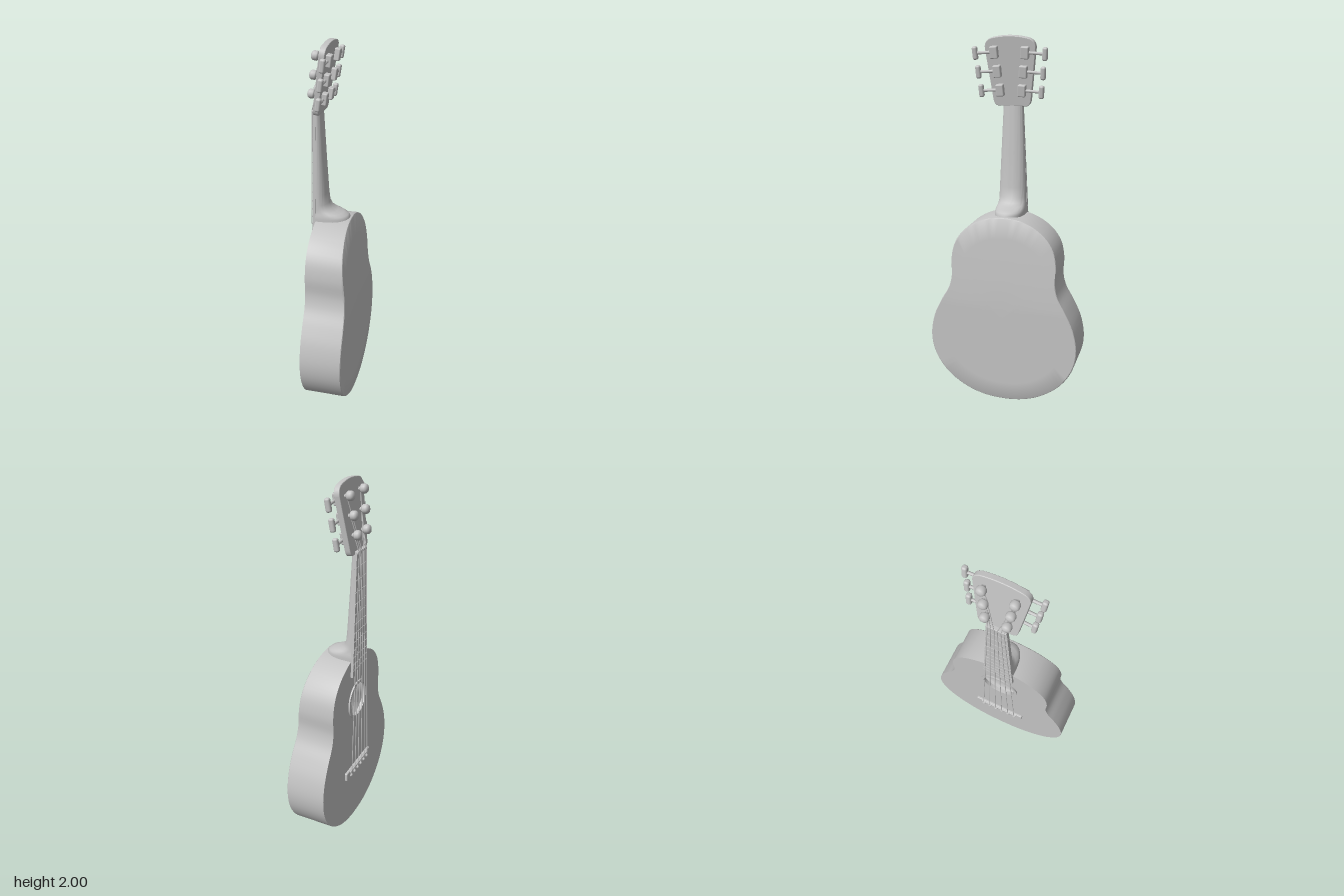
import * as THREE from 'three';
import { toCreasedNormals } from 'three/addons/utils/BufferGeometryUtils.js';
import { RoundedBoxGeometry } from 'three/addons/geometries/RoundedBoxGeometry.js';

const grey = new THREE.MeshStandardMaterial({ color: 0xc4c4c4, side: THREE.DoubleSide });
grey.name = 'plain grey';

function add(parent, name, geometry, x = 0, y = 0, z = 0) {
  const mesh = new THREE.Mesh(geometry, grey);
  mesh.name = name;
  mesh.position.set(x, y, z);
  parent.add(mesh);
  return mesh;
}

// Skin over closed rings holding the same number of [x, y, z] points
function loft(rings, crease) {
  const n = rings[0].length, index = [];
  for (let r = 0; r < rings.length - 1; r++) {
    for (let i = 0; i < n; i++) {
      const a = r * n + i, b = r * n + (i + 1) % n;
      index.push(a, b, b + n, a, b + n, a + n);
    }
  }
  const geo = new THREE.BufferGeometry();
  geo.setAttribute('position', new THREE.Float32BufferAttribute(rings.flat(2), 3));
  geo.setIndex(index);
  return toCreasedNormals(geo, crease);
}

// Straight round rod between two points
function rod(parent, name, a, b, radius) {
  const dir = b.clone().sub(a);
  const mesh = add(parent, name, new THREE.CylinderGeometry(radius, radius, dir.length(), 8));
  mesh.position.copy(a).add(b).multiplyScalar(0.5);
  mesh.quaternion.setFromUnitVectors(new THREE.Vector3(0, 1, 0), dir.normalize());
}

// Modelled with the soundboard towards -z, then turned to face -x
const FRONT = -0.09;
const backZ = y => 0.133 - 0.04 * Math.pow(Math.max(0, (y - 0.55) / 0.51), 1.3);

function makeBody(parent) {
  const half = [[0.11, 0.012], [0.22, 0.05], [0.33, 0.13], [0.4, 0.24], [0.42, 0.35], [0.4, 0.47],
    [0.355, 0.57], [0.31, 0.65], [0.293, 0.72], [0.295, 0.82], [0.275, 0.91], [0.22, 0.985], [0.12, 1.045]];
  const knots = [[0, 0.002], ...half, [0, 1.065], ...half.map(([x, y]) => [-x, y]).reverse()];
  const curve = new THREE.CatmullRomCurve3(knots.map(([x, y]) => new THREE.Vector3(x, y, 0)), true);
  const outline = curve.getPoints(120).slice(0, -1);

  // Sides and back in one skin, with a softly rounded rear edge
  const ring = (scale, zAt) => outline.map(p => {
    const y = 0.5 + (p.y - 0.5) * scale;
    return [p.x * scale, y, zAt(y)];
  });
  const rings = [ring(1, () => FRONT)];
  for (const [scale, inset] of [[1, 0.009], [0.997, 0.003], [0.988, 0], [0.8, 0], [0.6, 0], [0.4, 0], [0.2, 0], [0.001, 0]]) {
    rings.push(ring(scale, y => backZ(y) - inset));
  }
  add(parent, 'bodySidesAndBack', loft(rings, 0.6));

  // Soundboard with an open sound hole
  const board = new THREE.Shape(outline.map(p => new THREE.Vector2(p.x, p.y)));
  board.holes.push(new THREE.Path().absarc(0, 0.79, 0.098, 0, Math.PI * 2, true));
  const boardGeo = new THREE.ShapeGeometry(board, 48);
  boardGeo.scale(-1, 1, -1).computeVertexNormals();
  add(parent, 'soundboard', boardGeo, 0, 0, FRONT);

  // Raised ring lining the sound hole
  const rosette = new THREE.Shape().absarc(0, 0, 0.112, 0, Math.PI * 2);
  rosette.holes.push(new THREE.Path().absarc(0, 0, 0.096, 0, Math.PI * 2, true));
  add(parent, 'soundHoleRing',
    new THREE.ExtrudeGeometry(rosette, { depth: 0.02, bevelEnabled: false, curveSegments: 48 }), 0, 0.79, FRONT - 0.008);
}

function makeBridge(parent, stringX) {
  add(parent, 'bridge', new RoundedBoxGeometry(0.31, 0.05, 0.018, 3, 0.006), 0, 0.348, FRONT - 0.006);
  add(parent, 'saddle', new RoundedBoxGeometry(0.24, 0.01, 0.022, 2, 0.004), 0, 0.366, FRONT - 0.01);
  for (const x of stringX) {
    add(parent, 'bridgePin', new THREE.SphereGeometry(0.011, 14, 10), x, 0.34, FRONT - 0.015);
  }
}

function makeNeck(parent) {
  // Height, half width and rear depth, from heel to headstock
  const sections = [[1.035, 0.082, 0.078], [1.07, 0.083, 0.08], [1.082, 0.082, 0.07], [1.093, 0.08, 0.045],
    [1.103, 0.078, 0.012], [1.118, 0.077, -0.015], [1.145, 0.076, -0.032], [1.2, 0.074, -0.039],
    [1.4, 0.065, -0.052], [1.65, 0.053, -0.066]];
  const rings = sections.map(([y, w, back]) => {
    const power = back > -0.01 ? 0.6 : 0.8;
    return Array.from({ length: 25 }, (_, i) => {
      const a = Math.PI * (1 - i / 24);
      return [w * Math.cos(a), y, -0.092 + (back + 0.092) * Math.pow(Math.max(0, Math.sin(a)), power)];
    });
  });
  add(parent, 'neck', loft(rings, 0.9));

  const halfWidth = y => 0.087 - 0.034 * (y - 0.965) / 0.68;
  const board = new THREE.Shape([[-1, 0.965], [1, 0.965], [1, 1.645], [-1, 1.645]]
    .map(([s, y]) => new THREE.Vector2(s * halfWidth(y), y)));
  add(parent, 'fingerboard', new THREE.ExtrudeGeometry(board, { depth: 0.015, bevelEnabled: false }), 0, 0, -0.104);
  for (let i = 1; i <= 15; i++) {
    const y = 0.365 + 1.28 / Math.pow(2, i / 12);
    if (y > 0.98) add(parent, 'fret', new THREE.BoxGeometry(2 * halfWidth(y), 0.004, 0.003), 0, y, -0.105);
  }
  add(parent, 'nut', new RoundedBoxGeometry(0.106, 0.014, 0.024, 2, 0.003), 0, 1.648, -0.1);
}

// Post positions on the headstock, from the nut upwards
const posts = [[0.055, 0.097], [0.066, 0.195], [0.078, 0.292]];

function makeHeadstock(parent) {
  const head = new THREE.Group();
  head.name = 'headstock';
  head.position.set(0, 1.64, -0.095);
  head.rotation.x = 0.15;
  parent.add(head);

  const s = new THREE.Shape();
  s.moveTo(-0.075, 0.004);
  s.lineTo(0.075, 0.004);
  s.quadraticCurveTo(0.093, 0.004, 0.098, 0.03);
  s.lineTo(0.131, 0.3);
  s.quadraticCurveTo(0.133, 0.338, 0.095, 0.348);
  s.quadraticCurveTo(0, 0.37, -0.095, 0.348);
  s.quadraticCurveTo(-0.133, 0.338, -0.131, 0.3);
  s.lineTo(-0.098, 0.03);
  s.quadraticCurveTo(-0.093, 0.004, -0.075, 0.004);
  add(head, 'headPlate', new THREE.ExtrudeGeometry(s, {
    depth: 0.022, bevelThickness: 0.004, bevelSize: 0.004, bevelSegments: 3, curveSegments: 16 }), 0, 0, 0.004);

  // Rounded post cap on a thin stem
  const cap = new THREE.LatheGeometry([[0.01, 0], [0.01, 0.012], [0.02, 0.015], [0.024, 0.021], [0.024, 0.038],
    [0.019, 0.046], [0.01, 0.05], [0, 0.051]].map(([r, h]) => new THREE.Vector2(r, h)), 20);
  cap.rotateX(-Math.PI / 2);

  for (const side of [-1, 1]) {
    for (const [x, y] of posts) {
      add(head, 'stringPost', cap, side * x, y, 0.002);
      const tuner = new THREE.Group();
      tuner.name = 'tuner';
      tuner.position.set(side * x, y - 0.01, 0);
      tuner.rotation.z = -side * 0.06;
      head.add(tuner);
      add(tuner, 'gearBox', new RoundedBoxGeometry(0.042, 0.062, 0.032, 2, 0.006), side * 0.004, 0, 0.042);
      rod(tuner, 'tunerShaft', new THREE.Vector3(0, 0, 0.038), new THREE.Vector3(side * 0.108, 0, 0.038), 0.008);
      add(tuner, 'tunerButton', new RoundedBoxGeometry(0.027, 0.068, 0.028, 3, 0.01), side * 0.108, 0, 0.038);
    }
  }
  head.updateMatrix();
  return head;
}

export function createModel() {
  const root = new THREE.Group();
  root.name = 'guitar';
  const guitar = new THREE.Group();
  guitar.name = 'instrument';
  guitar.rotation.y = Math.PI / 2;
  root.add(guitar);

  const spread = [-1, -0.6, -0.2, 0.2, 0.6, 1];
  makeBody(guitar);
  makeBridge(guitar, spread.map(t => t * 0.105));
  makeNeck(guitar);
  const head = makeHeadstock(guitar);

  // Strings run over saddle and nut; outer ones go to the lowest posts
  spread.forEach((t, i) => {
    const [px, py] = posts[Math.min(i, 5 - i)];
    const pin = new THREE.Vector3(t * 0.105, 0.34, -0.108);
    const saddle = new THREE.Vector3(t * 0.105, 0.366, -0.111);
    const nut = new THREE.Vector3(t * 0.042, 1.648, -0.112);
    const post = new THREE.Vector3(Math.sign(t) * px, py, -0.008).applyMatrix4(head.matrix);
    rod(guitar, 'string', pin, saddle, 0.0025);
    rod(guitar, 'string', saddle, nut, 0.0025);
    rod(guitar, 'string', nut, post, 0.0025);
  });
  return root;
}
